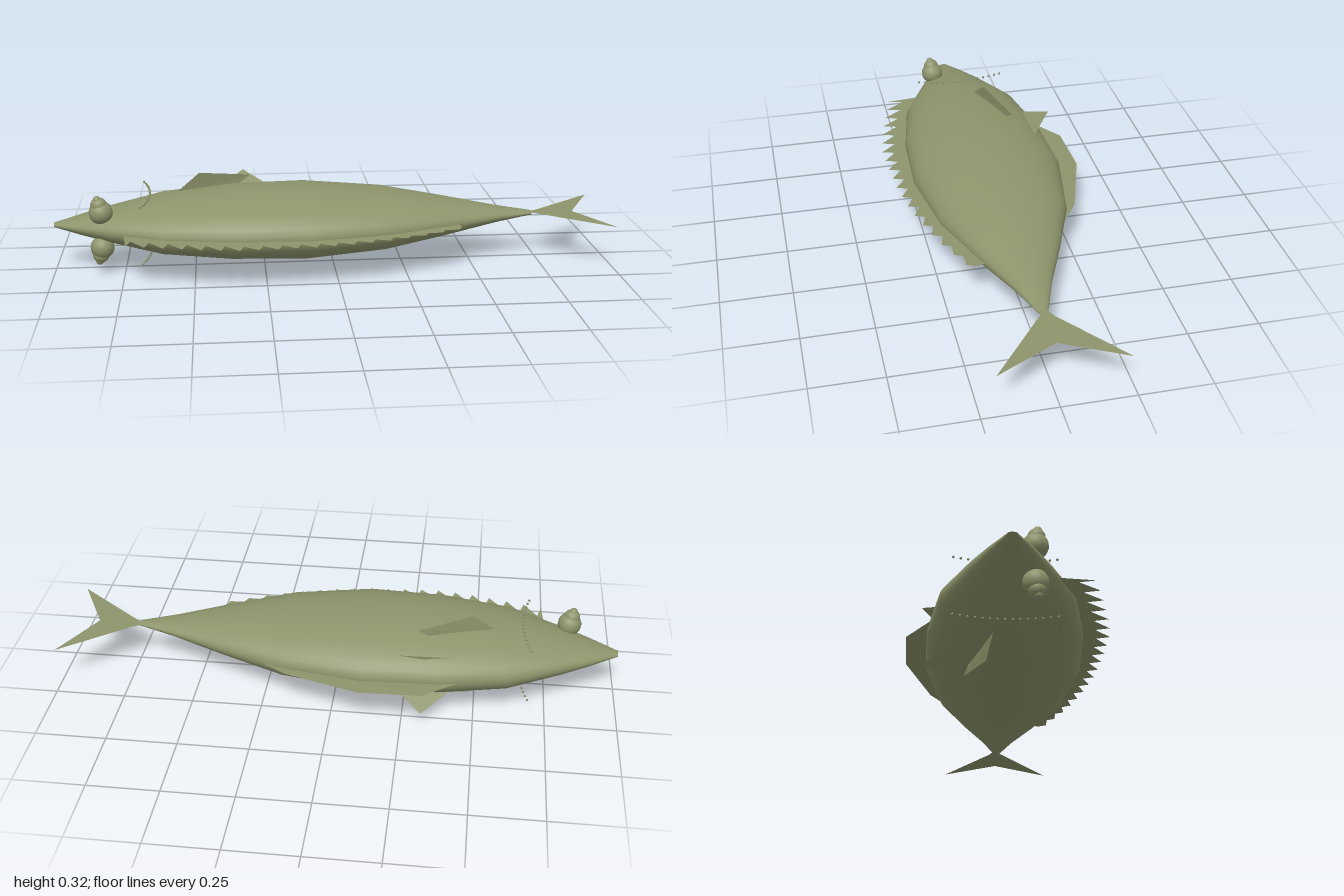
import * as THREE from 'three';

const MID_Y = 0.163, MID_Z = -0.01, FLATNESS = 0.447;

export function createModel() {
  const fish = new THREE.Group();
  fish.name = 'fish';
  const olive = new THREE.MeshStandardMaterial({ color: 0x8d946b, side: THREE.DoubleSide });
  olive.name = 'oliveSkin';

  const add = (name, geometry, parent = fish) => {
    const mesh = new THREE.Mesh(geometry, olive);
    mesh.name = name;
    parent.add(mesh);
    return mesh;
  };

  // Body: an open lathe along x, squashed in y
  const profile = [
    [-1, 0.016], [-0.9, 0.076], [-0.8, 0.13], [-0.61, 0.22], [-0.37, 0.264], [-0.1, 0.275],
    [0.18, 0.228], [0.4, 0.145], [0.6, 0.062], [0.735, 0.016],
  ].map(([x, r]) => new THREE.Vector2(r, x));
  const body = new THREE.LatheGeometry(profile, 40);
  body.rotateZ(-Math.PI / 2);
  body.scale(1, FLATNESS, 1);
  body.translate(0, MID_Y, MID_Z);
  add('body', body);

  // Flat fins in the fish's middle plane, outlined as [x, z]
  const flatFin = (name, outline) => {
    const shape = new THREE.Shape(outline.map(([x, z]) => new THREE.Vector2(x, -z)));
    const geometry = new THREE.ShapeGeometry(shape);
    geometry.rotateX(-Math.PI / 2);
    geometry.translate(0, MID_Y, 0);
    add(name, geometry);
  };
  flatFin('tailFin', [[0.72, -0.02], [0.76, -0.04], [1, -0.225], [0.89, -0.012], [1, 0.202], [0.74, -0.002]]);
  flatFin('smoothFin', [[-0.435, -0.265], [-0.32, -0.347], [-0.105, -0.354], [0.16, -0.272],
    [0.265, -0.203], [0.15, -0.2], [-0.1, -0.25], [-0.35, -0.24]]);

  // Spiny fin: each tooth slopes out to its tip, then steps back
  const tips = [0.265, 0.283, 0.3, 0.315, 0.33, 0.34, 0.348, 0.345, 0.342, 0.337, 0.333,
    0.324, 0.312, 0.298, 0.28, 0.26, 0.237, 0.208, 0.178];
  const spiny = [[-0.745, 0.14]];
  tips.forEach((z, i) => {
    const x = -0.732 + i * 0.0648;
    spiny.push([x, z], [x + 0.014, z - 0.055 + i * 0.0015]);
  });
  spiny.push([0.44, 0.11], [0.18, 0.18], [-0.1, 0.23], [-0.37, 0.22], [-0.61, 0.17], [-0.72, 0.12]);
  flatFin('spinyFin', spiny);

  // Paired fins as a fan of corners, mirrored across the middle plane
  const sideFin = (name, corners, side) => {
    const geometry = new THREE.BufferGeometry();
    const points = corners.map(([x, y, z]) => new THREE.Vector3(x, MID_Y + side * y, z));
    geometry.setFromPoints(points);
    const index = [];
    for (let i = 1; i < points.length - 1; i++) {
      index.push(...(side > 0 ? [0, i, i + 1] : [0, i + 1, i]));
    }
    geometry.setIndex(index);
    geometry.computeVertexNormals();
    add(name, geometry);
  };

  for (const side of [1, -1]) {
    const label = side > 0 ? 'upper' : 'lower';
    sideFin(label + 'PectoralFin',
      [[-0.565, 0.095, -0.054], [-0.48, 0.162, -0.076], [-0.295, 0.132, -0.148], [-0.34, 0.1, -0.13]], side);
    sideFin(label + 'PelvicFin',
      [[-0.41, 0.073, -0.216], [-0.227, 0.073, -0.22], [-0.318, 0.114, -0.295]], side);

    // Eye: three stacked balls
    const eye = new THREE.Group();
    eye.name = label + 'Eye';
    fish.add(eye);
    [['eyeball', 0.042, -0.826, 0.064, 0.067], ['iris', 0.029, -0.832, 0.091, 0.07],
      ['pupil', 0.014, -0.837, 0.112, 0.074]].forEach(([name, r, x, y, z]) => {
      add(name, new THREE.SphereGeometry(r, 20, 14), eye).position.set(x, MID_Y + side * y, z);
    });

    // Gill line: a curved row of small beads
    const gill = new THREE.Group();
    gill.name = label + 'GillLine';
    fish.add(gill);
    const bead = new THREE.SphereGeometry(0.0045, 8, 6);
    const count = 15;
    for (let i = 0; i < count; i++) {
      const z = -0.186 + (i / (count - 1)) * 0.332;
      add('gillBead', bead, gill).position.set(-0.657 - 0.95 * (z + 0.01) ** 2, MID_Y + side * 0.103, z);
    }
  }
  return fish;
}
